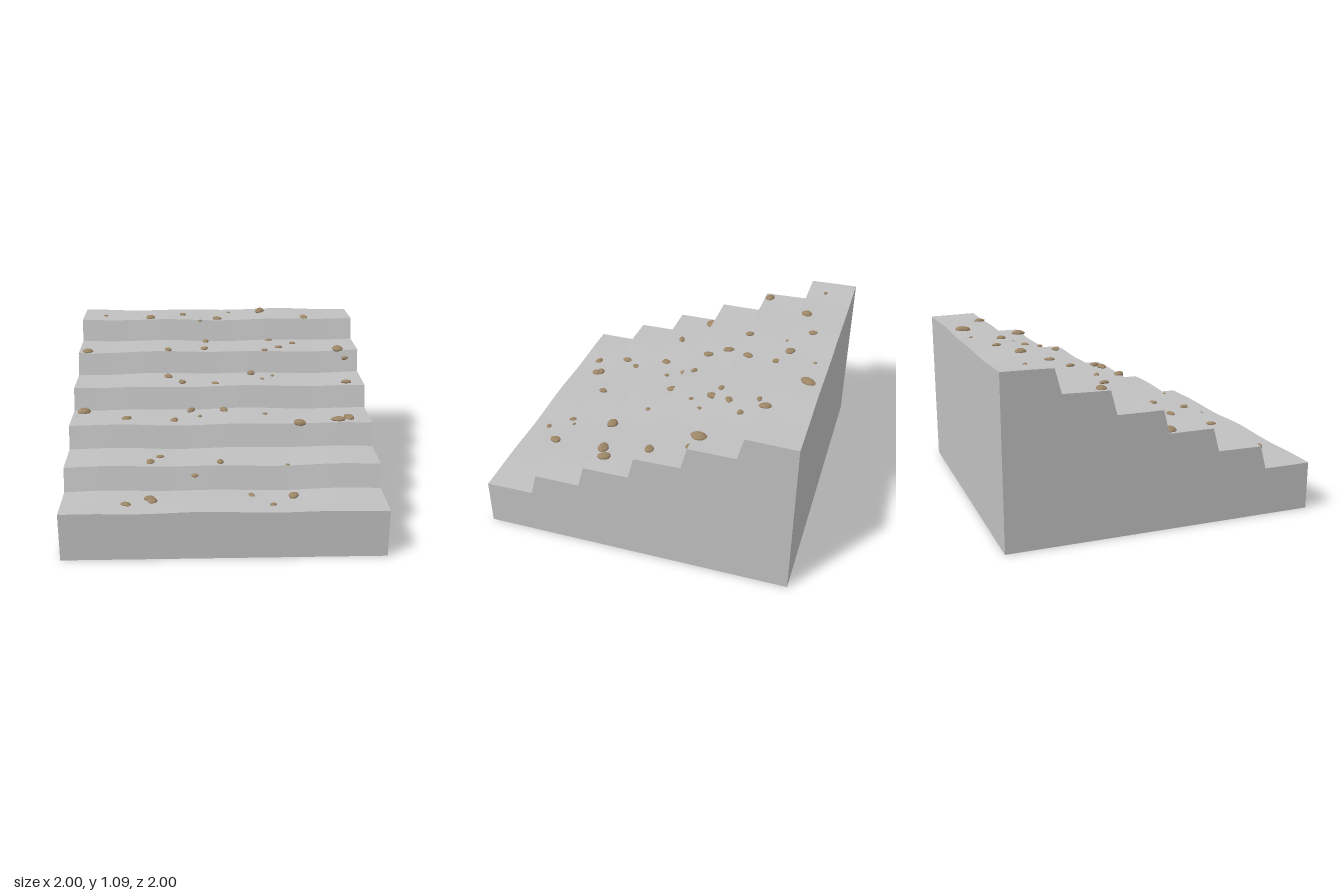
import * as THREE from 'three';
import { mergeGeometries } from 'three/addons/utils/BufferGeometryUtils.js';

// Step profile from the front edge to the back edge
const STEPS = 6, RISE = 0.15, BASE = 0.31;
const profile = [[1, BASE]];
for (let i = 1; i < STEPS; i++) {
  const z = 1 - i / 3;
  profile.push([z + 0.02, BASE + RISE * (i - 1)], [z - 0.02, BASE + RISE * i]);
}
profile.push([-1, BASE + RISE * (STEPS - 1)]);

// Gently uneven ground
const wave = (x, z) => 0.004 * Math.sin(8.5 * x + 2.5 * z) + 0.003 * Math.sin(4.3 * x - 5 * z + 1);

function heightAt(x, z) {
  let i = 0;
  while (i < profile.length - 2 && z < profile[i + 1][0]) i++;
  const [za, ya] = profile[i], [zb, yb] = profile[i + 1];
  return ya + (yb - ya) * (za - z) / (za - zb) + wave(x, z);
}

// Grid surface: point(u, v) returns [x, y, z]; faces along du x dv
function grid(nu, nv, point) {
  const pos = [], index = [];
  for (let j = 0; j <= nv; j++) for (let i = 0; i <= nu; i++) pos.push(...point(i / nu, j / nv));
  for (let j = 0; j < nv; j++) for (let i = 0; i < nu; i++) {
    const a = j * (nu + 1) + i, d = a + nu + 1;
    index.push(a, a + 1, d + 1, a, d + 1, d);
  }
  const g = new THREE.BufferGeometry();
  g.setAttribute('position', new THREE.Float32BufferAttribute(pos, 3));
  g.setIndex(index);
  g.computeVertexNormals();
  return g;
}

// Stones as [x, z, half length], grouped by the axis they are longest on
const wideStones = [
  [-0.84, -0.81, 0.018], [0.09, -0.91, 0.015], [0, -0.73, 0.038], [-0.13, -0.685, 0.016],
  [0.38, -0.63, 0.026], [0.55, -0.55, 0.027], [0.44, -0.45, 0.03], [0.33, -0.37, 0.025],
  [-0.94, -0.39, 0.043], [0.91, -0.338, 0.03], [-0.03, -0.08, 0.027], [0.88, -0.08, 0.038],
  [-0.93, 0.05, 0.053], [0.3, 0.14, 0.019], [-0.63, 0.2, 0.033], [0.78, 0.265, 0.049],
  [0.52, 0.305, 0.047], [-0.4, 0.49, 0.027], [0.41, 0.637, 0.015], [-0.18, 0.663, 0.028],
  [-0.46, 0.8, 0.037], [-0.6, 0.875, 0.033], [0.3, 0.89, 0.023],
];
const deepStones = [
  [-0.5, -0.74, 0.042], [-0.26, -0.83, 0.031], [0.33, -0.91, 0.05], [0.65, -0.72, 0.039],
  [-0.09, -0.63, 0.032], [-0.1, -0.435, 0.035], [-0.36, -0.38, 0.032], [0.86, -0.38, 0.053],
  [0.23, -0.285, 0.041], [-0.36, -0.235, 0.038], [0.38, -0.24, 0.017], [0.3, -0.16, 0.018],
  [-0.26, -0.115, 0.036], [-0.2, 0.04, 0.037], [0.025, 0.06, 0.038], [-0.14, 0.155, 0.02],
  [-0.31, 0.215, 0.033], [0.86, 0.23, 0.045], [-0.46, 0.58, 0.036], [-0.015, 0.595, 0.033],
  [0.175, 0.76, 0.025], [0.435, 0.78, 0.042], [-0.44, 0.83, 0.039],
];

// Chipped stone, unit size, longest on x
function stoneGeometry(seed) {
  const g = new THREE.IcosahedronGeometry(1, 1);
  const p = g.attributes.position, v = new THREE.Vector3();
  for (let i = 0; i < p.count; i++) {
    v.fromBufferAttribute(p, i);
    const k = Math.sin(v.x * 3.1 + seed) + Math.sin(v.y * 4.3 + seed * 2) + Math.sin(v.z * 3.7 + seed * 3);
    v.multiplyScalar(0.96 + 0.06 * k);
    p.setXYZ(i, v.x, v.y * 0.42, v.z * 0.74);
  }
  g.computeVertexNormals();
  return g;
}

export function createModel() {
  const concrete = new THREE.MeshStandardMaterial({ color: 0xc0c0c0 });
  concrete.name = 'pale grey';
  const stone = new THREE.MeshStandardMaterial({ color: 0x9c8566, flatShading: true });
  stone.name = 'brown stone';

  const group = new THREE.Group();
  group.name = 'steppedTerrace';
  const add = (name, parts, material) => {
    const mesh = new THREE.Mesh(mergeGeometries(parts), material);
    mesh.name = name;
    group.add(mesh);
  };

  // Treads, risers and the side walls below each of them
  const treads = [], risers = [], walls = [];
  for (let i = 0; i < profile.length - 1; i++) {
    const [za, ya] = profile[i], [zb, yb] = profile[i + 1];
    const flat = i % 2 === 0, rows = flat ? 8 : 1;
    const at = (x, t) => {
      const z = za + (zb - za) * t;
      return [x, ya + (yb - ya) * t + wave(x, z), z];
    };
    (flat ? treads : risers).push(grid(48, rows, (u, v) => at(2 * u - 1, v)));
    for (const side of [-1, 1]) walls.push(grid(rows, 1, (u, v) => {
      const [x, y, z] = at(side, side > 0 ? u : 1 - u);
      return [x, y * v, z];
    }));
  }
  add('treads', treads, concrete);
  add('risers', risers, concrete);

  // Front and back walls and the underside
  for (const side of [-1, 1]) walls.push(grid(48, 1, (u, v) => {
    const x = side * (2 * u - 1);
    return [x, heightAt(x, side) * v, side];
  }));
  walls.push(grid(1, 1, (u, v) => [2 * u - 1, 0, 2 * v - 1]));
  add('baseWalls', walls, concrete);

  // Scattered stones, half sunk into the ground
  const scatter = (list, yaw) => list.map(([x, z, r], i) => stoneGeometry(i * 1.7 + yaw)
    .scale(r, r, r)
    .rotateY(yaw + 0.45 * Math.sin(i * 2.3))
    .translate(x, heightAt(x, z) + 0.1 * r, z));
  add('scatteredStones', [...scatter(wideStones, 0), ...scatter(deepStones, Math.PI / 2)], stone);
  return group;
}
